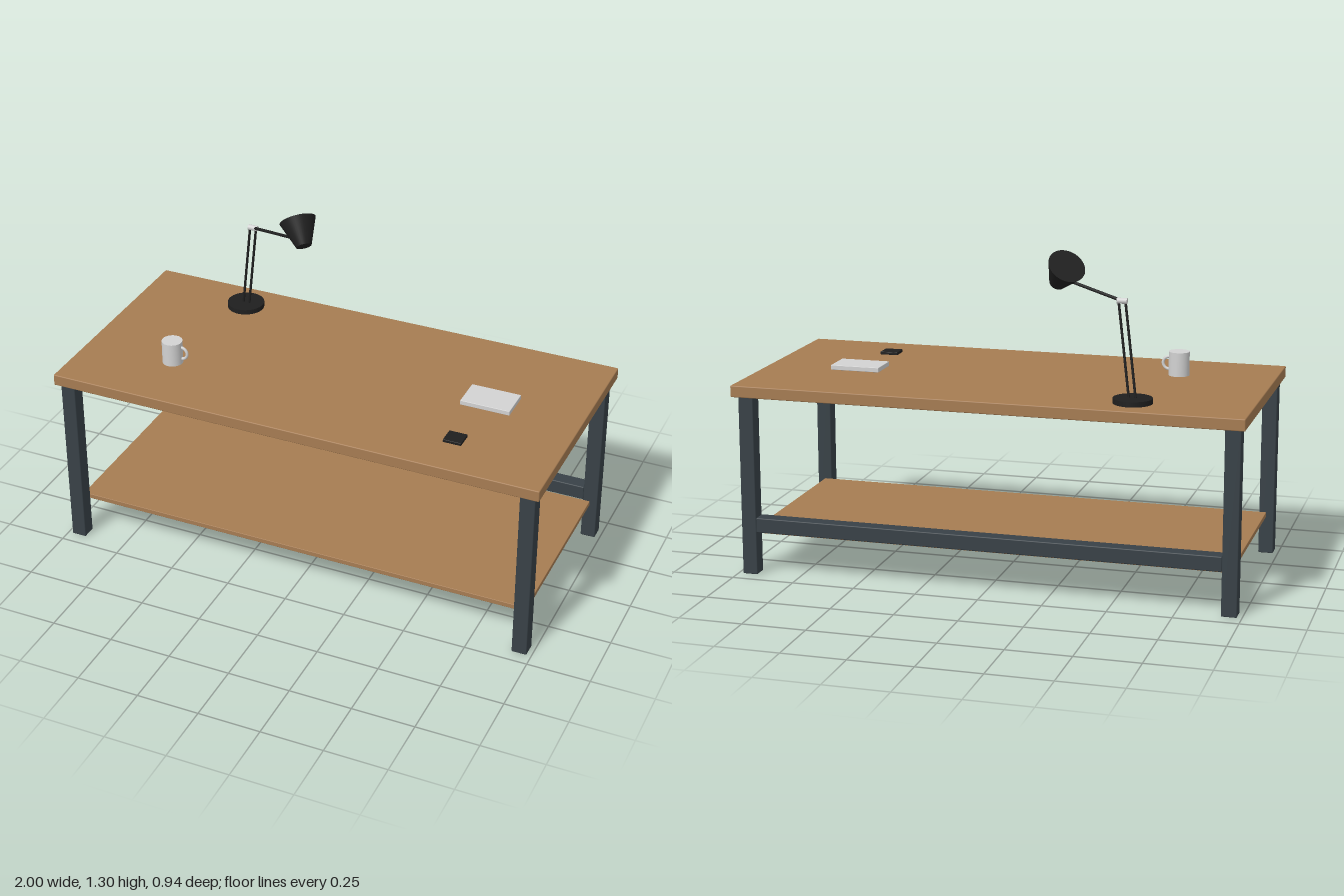
import * as THREE from 'three';
import { RoundedBoxGeometry } from 'three/addons/geometries/RoundedBoxGeometry.js';

const material = (name, color) => Object.assign(new THREE.MeshStandardMaterial({ color }), { name });
const wood = material('wood', 0xa67c52);
const steel = material('darkSteel', 0x384147);
const black = material('black', 0x1f1f1f);
const ceramic = material('lightGrey', 0xd2d2d2);

function add(parent, name, geometry, mat, x = 0, y = 0, z = 0) {
  const mesh = new THREE.Mesh(geometry, mat);
  mesh.name = name;
  mesh.position.set(x, y, z);
  parent.add(mesh);
  return mesh;
}

// Softly bevelled box given by its low and high corners
function block(parent, name, mat, [x0, y0, z0], [x1, y1, z1], bevel = 0.004) {
  const geometry = new RoundedBoxGeometry(x1 - x0, y1 - y0, z1 - z0, 2, bevel);
  return add(parent, name, geometry, mat, (x0 + x1) / 2, (y0 + y1) / 2, (z0 + z1) / 2);
}

// Capped cylinder or cone running from point a to point b
function between(parent, name, mat, a, b, rA, rB = rA, sides = 12) {
  const start = new THREE.Vector3(...a);
  const axis = new THREE.Vector3(...b).sub(start);
  const mesh = add(parent, name, new THREE.CylinderGeometry(rB, rA, axis.length(), sides), mat);
  mesh.position.copy(start).addScaledVector(axis, 0.5);
  mesh.quaternion.setFromUnitVectors(new THREE.Vector3(0, 1, 0), axis.normalize());
  return mesh;
}

function createTable() {
  const table = new THREE.Group();
  table.name = 'table';
  block(table, 'tableTop', wood, [-1, 0.717, -0.47], [1, 0.763, 0.47]);
  block(table, 'lowerShelf', wood, [-0.95, 0.152, -0.38], [0.95, 0.172, 0.39], 0.002);
  block(table, 'backRail', steel, [-0.921, 0.172, -0.44], [0.921, 0.231, -0.38]);
  for (const x of [-0.951, 0.951]) {
    for (const [name, z] of [['frontLeg', 0.421], ['backLeg', -0.41]]) {
      block(table, name, steel, [x - 0.03, 0, z - 0.03], [x + 0.03, 0.718, z + 0.03]);
    }
  }
  return table;
}

function createLamp() {
  const lamp = new THREE.Group();
  lamp.name = 'deskLamp';
  add(lamp, 'lampBase', new THREE.CylinderGeometry(0.075, 0.075, 0.02, 40), black, -0.553, 0.773, -0.329);
  // Twin lower rods, elbow and upper arm
  for (const s of [-0.013, 0.013]) {
    between(lamp, 'lowerArm', black, [-0.551 + s, 0.775, -0.328], [-0.503 + s, 1.142, -0.309], 0.005);
  }
  between(lamp, 'elbowJoint', ceramic, [-0.523, 1.142, -0.309], [-0.484, 1.142, -0.309], 0.011, 0.011, 20);
  between(lamp, 'upperArm', black, [-0.503, 1.142, -0.309], [-0.25, 1.195, -0.2], 0.006);
  // Closed conical shade with its wide end tilted up and back
  between(lamp, 'lampShade', black, [-0.224, 1.175, -0.19], [-0.277, 1.251, -0.248], 0.031, 0.073, 40);
  return lamp;
}

function createMug() {
  const mug = new THREE.Group();
  mug.name = 'mug';
  mug.position.set(-0.621, 0.763, 0.19);
  add(mug, 'mugBody', new THREE.CylinderGeometry(0.041, 0.041, 0.095, 36), ceramic, 0, 0.0475, 0);
  const handle = add(mug, 'mugHandle', new THREE.TorusGeometry(0.025, 0.006, 10, 20, Math.PI), ceramic, 0.039, 0.047, 0);
  handle.rotation.z = -Math.PI / 2;
  return mug;
}

export function createModel() {
  const model = new THREE.Group();
  model.name = 'workTable';
  model.add(createTable(), createLamp(), createMug());
  // Small items on the table top
  block(model, 'notebook', ceramic, [0.528, 0.763, -0.097], [0.728, 0.782, 0.034], 0.002);
  block(model, 'coaster', black, [0.563, 0.763, 0.235], [0.636, 0.775, 0.304], 0.002);
  return model;
}
